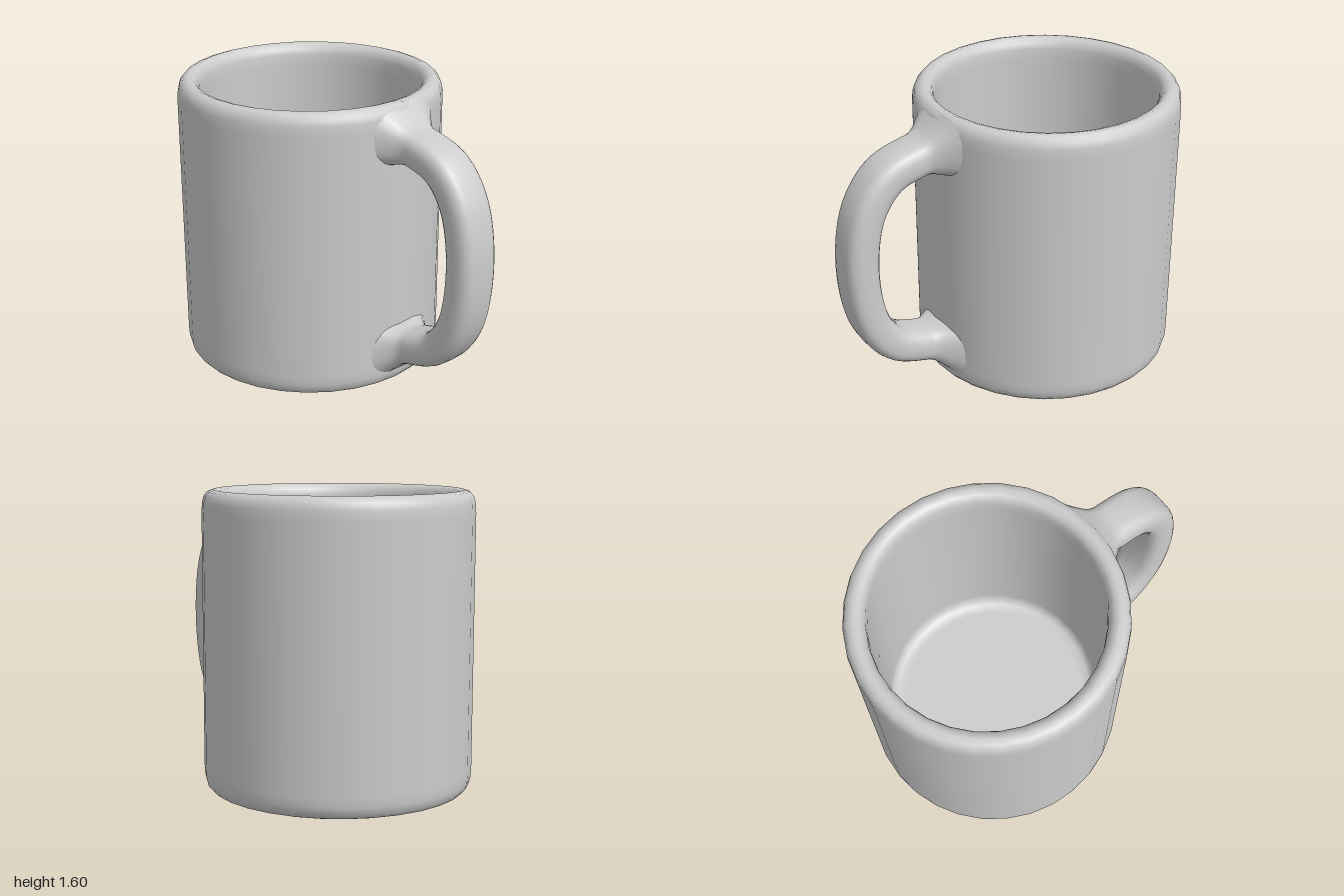
import * as THREE from 'three';

const material = new THREE.MeshStandardMaterial({ color: 0xcccccc });

// Hollow cup with rounded rim, rounded foot and a recessed underside
function makeCup() {
  const profile = [
    [0, 0.12], [0.5, 0.12], [0.565, 0.115], [0.59, 0.1], [0.6, 0.07], [0.615, 0.03], [0.635, 0.01], [0.66, 0.002],
    [0.69, 0.012], [0.71, 0.035], [0.719, 0.07], [0.722, 0.12],
    [0.722, 1.48], [0.719, 1.535], [0.71, 1.568], [0.69, 1.592], [0.66, 1.602],
    [0.632, 1.592], [0.614, 1.57], [0.605, 1.54], [0.602, 1.48],
    [0.602, 0.28], [0.595, 0.235], [0.57, 0.207], [0.52, 0.2], [0, 0.2],
  ].map(([r, y]) => new THREE.Vector2(r, y));
  const cup = new THREE.Mesh(new THREE.LatheGeometry(profile, 32), material);
  cup.name = 'cup';
  cup.position.z = -0.277;
  return cup;
}

// Rounded-strap handle swept along a C curve, flaring where it meets the cup
function makeHandle() {
  const path = new THREE.CatmullRomCurve3([
    [0.38, 1.405], [0.46, 1.395], [0.56, 1.38], [0.73, 1.318], [0.855, 1.15], [0.908, 0.83],
    [0.855, 0.49], [0.73, 0.322], [0.56, 0.257], [0.46, 0.24], [0.38, 0.23],
  ].map(([z, y]) => new THREE.Vector3(0, y, z)));
  const steps = 72, sides = 24;
  const positions = [], indices = [];
  const bulge = (v, e) => Math.sign(v) * Math.abs(v) ** e;
  for (let i = 0; i <= steps; i++) {
    const p = path.getPointAt(i / steps);
    const t = path.getTangentAt(i / steps);
    const flare = THREE.MathUtils.clamp((0.53 - p.z) / 0.15, 0, 1) ** 1.4;
    for (let j = 0; j < sides; j++) {
      const a = (j / sides) * Math.PI * 2;
      const across = bulge(Math.cos(a), 0.55) * (0.125 + 0.12 * flare);
      const grow = Math.sin(a) > 0 ? 0.1 : 0.06;
      const out = bulge(Math.sin(a), 0.8) * (0.094 + grow * flare);
      // Outward direction is the tangent turned a quarter in the yz plane
      positions.push(0.02 + across, p.y + t.z * out, p.z - t.y * out);
      if (i < steps) {
        const k = i * sides + j, n = i * sides + (j + 1) % sides;
        indices.push(k, k + sides, n, n, k + sides, n + sides);
      }
    }
  }
  // Wind the faces so that they look outward
  const geometry = new THREE.BufferGeometry();
  geometry.setAttribute('position', new THREE.Float32BufferAttribute(positions, 3));
  geometry.setIndex(indices.reverse());
  geometry.computeVertexNormals();
  const handle = new THREE.Mesh(geometry, material);
  handle.name = 'handle';
  return handle;
}

export function createModel() {
  const mug = new THREE.Group();
  mug.name = 'mug';
  mug.add(makeCup(), makeHandle());
  return mug;
}
